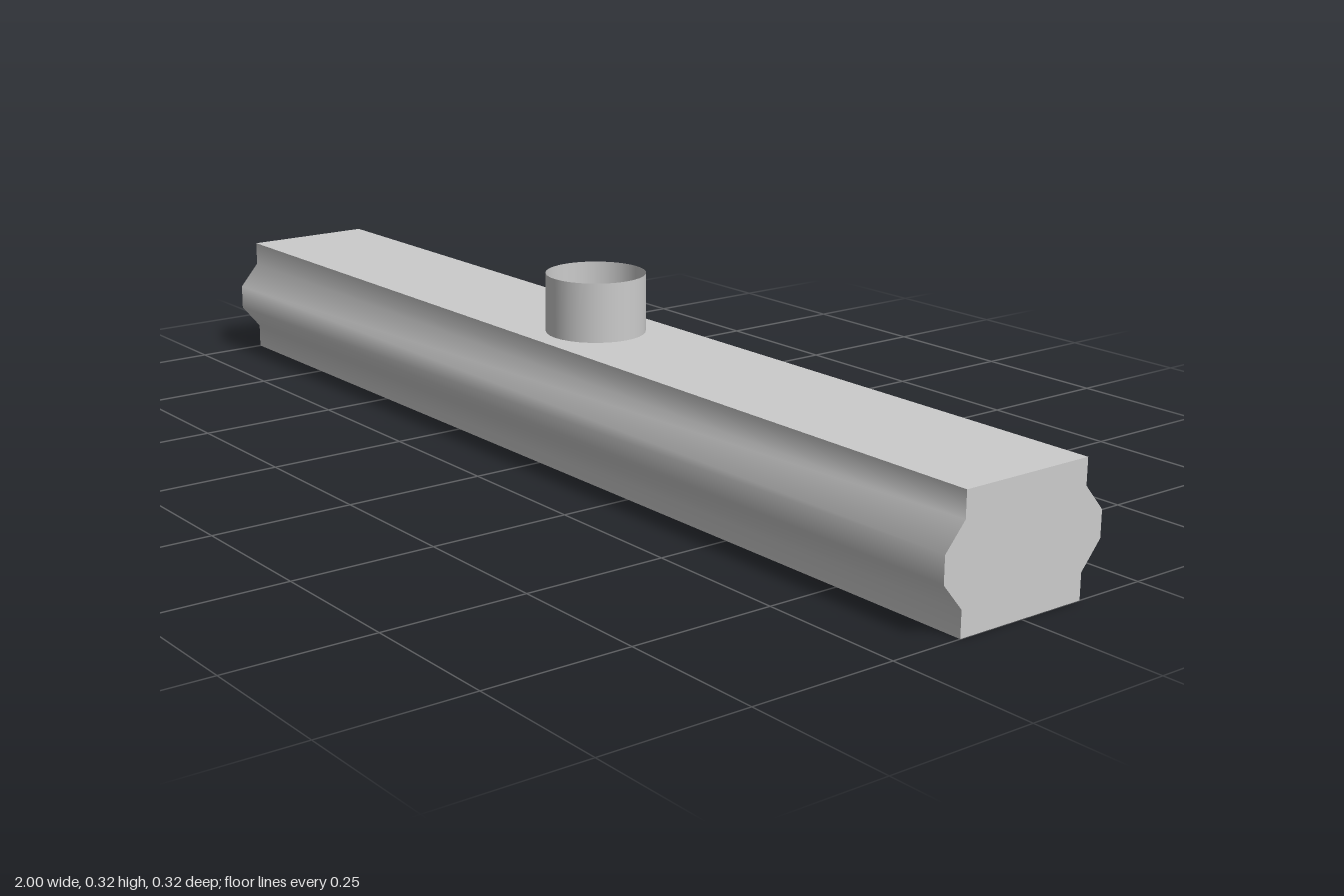
import * as THREE from 'three';
import { toCreasedNormals } from 'three/addons/utils/BufferGeometryUtils.js';

export function createModel() {
  const group = new THREE.Group();
  const material = new THREE.MeshStandardMaterial({ color: 0xcccccc });
  const openMaterial = new THREE.MeshStandardMaterial({ color: 0xcccccc, side: THREE.DoubleSide });

  // Long bar: mirrored profile with a bulging rib along each side
  const half = [
    [0.122, 0], [0.122, 0.043], [0.159, 0.087],
    [0.159, 0.131], [0.122, 0.174], [0.122, 0.217],
  ];
  const mirrored = half.map(([x, y]) => [-x, y]).reverse();
  const profile = new THREE.Shape([...half, ...mirrored].map(([x, y]) => new THREE.Vector2(x, y)));
  const barGeometry = new THREE.ExtrudeGeometry(profile, { depth: 2, bevelEnabled: false });
  barGeometry.translate(0, 0, -1).rotateY(Math.PI / 2);
  const bar = new THREE.Mesh(toCreasedNormals(barGeometry, 1), material);
  bar.name = 'bar';
  group.add(bar);

  // Thin open collar standing on the middle of the bar
  const bottom = 0.217, top = 0.32;
  const collar = new THREE.Mesh(
    new THREE.CylinderGeometry(0.087, 0.087, top - bottom, 32, 1, true),
    openMaterial,
  );
  collar.name = 'collar';
  collar.position.y = (bottom + top) / 2;
  group.add(collar);

  return group;
}
